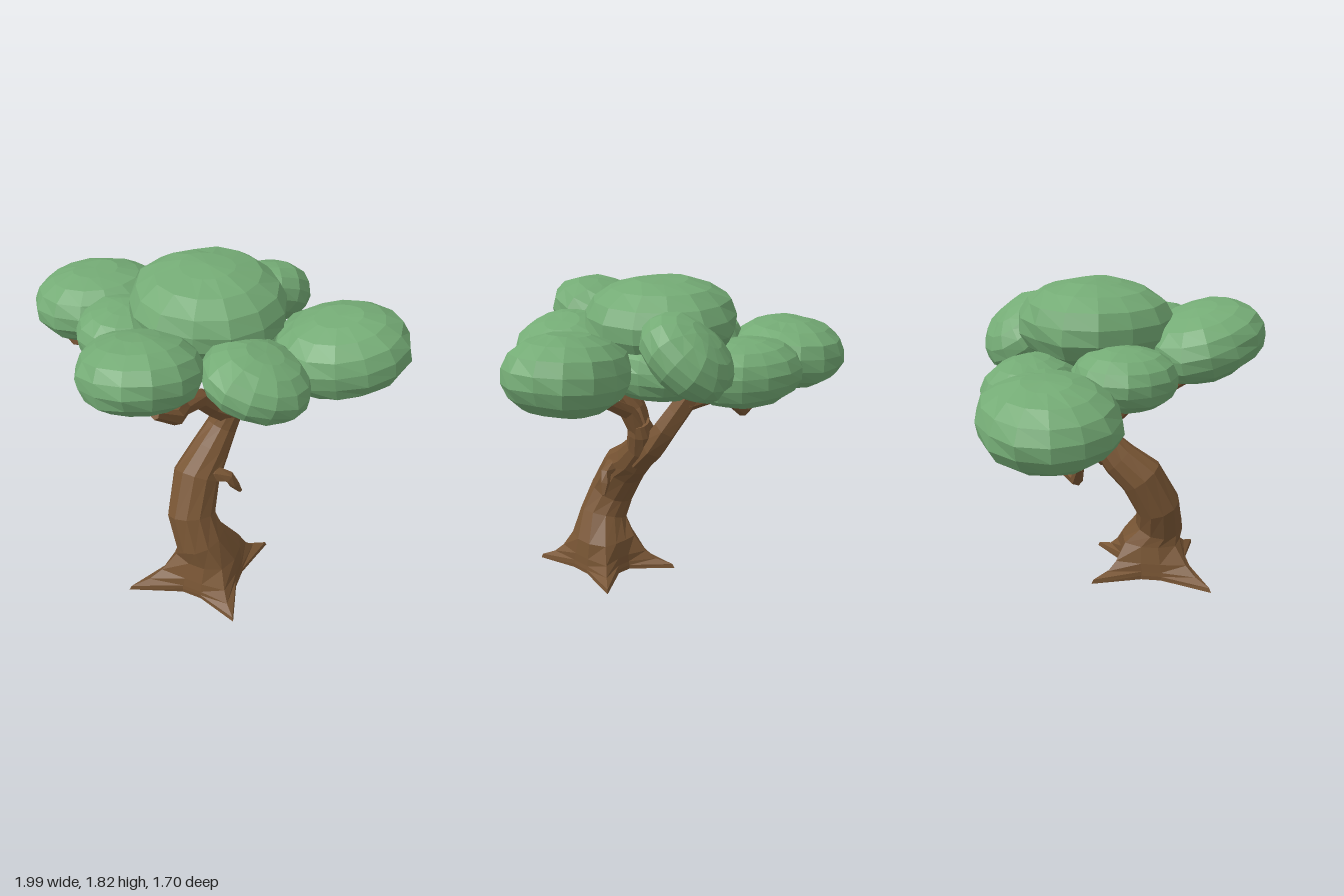
import * as THREE from 'three';

const bark = new THREE.MeshStandardMaterial({ color: 0x785534, flatShading: true });
bark.name = 'barkBrown';
const leaf = new THREE.MeshStandardMaterial({ color: 0x74ab75, flatShading: true });
leaf.name = 'leafGreen';

// Closed skin over a list of rings with equal point counts
function loft(rings) {
  const n = rings[0].length, pos = [], idx = [];
  rings.forEach(r => r.forEach(p => pos.push(p.x, p.y, p.z)));
  for (let k = 0; k < rings.length - 1; k++) {
    for (let i = 0; i < n; i++) {
      const a = k * n + i, b = k * n + (i + 1) % n;
      idx.push(a, a + n, b, b, a + n, b + n);
    }
  }
  [0, rings.length - 1].forEach((k, end) => {
    const c = new THREE.Vector3();
    rings[k].forEach(p => c.addScaledVector(p, 1 / n));
    const ci = pos.length / 3;
    pos.push(c.x, c.y, c.z);
    for (let i = 0; i < n; i++) {
      const a = k * n + i, b = k * n + (i + 1) % n;
      if (end) idx.push(a, ci, b); else idx.push(a, b, ci);
    }
  });
  const g = new THREE.BufferGeometry();
  g.setAttribute('position', new THREE.Float32BufferAttribute(pos, 3));
  g.setIndex(idx);
  g.computeVertexNormals();
  return g;
}

// Rings square to the path; each path point is [x, y, z, radius]
function ringsAlong(path, angles, upright = 0) {
  const pts = path.map(p => new THREE.Vector3(p[0], p[1], p[2]));
  const up = new THREE.Vector3(0, 1, 0);
  return path.map((p, k) => {
    const t = k < upright ? up.clone()
      : pts[Math.min(k + 1, pts.length - 1)].clone().sub(pts[Math.max(k - 1, 0)]).normalize();
    const q = new THREE.Quaternion().setFromUnitVectors(up, t);
    return angles.map((a, i) => {
      const r = Array.isArray(p[3]) ? p[3][i] : p[3];
      return new THREE.Vector3(Math.cos(a) * r, 0, Math.sin(a) * r).applyQuaternion(q).add(pts[k]);
    });
  });
}

function branch(name, path, sides = 6) {
  const angles = Array.from({ length: sides }, (_, i) => i / sides * Math.PI * 2);
  const m = new THREE.Mesh(loft(ringsAlong(path, angles)), bark);
  m.name = name;
  return m;
}

// Leaning trunk whose lowest rings flare into four roots
function trunk() {
  const tips = [[-95, 0.46], [-27, 0.42], [71, 0.40], [165, 0.47]];
  const angles = [], reach = [];
  tips.forEach(([a, r], i) => {
    const next = i < 3 ? tips[i + 1][0] : tips[0][0] + 360;
    [0, 1, 2].forEach(s => {
      angles.push(THREE.MathUtils.degToRad(a + (next - a) * s / 3));
      reach.push(s ? 0.21 : r);
    });
  });
  const flare = (r, f) => reach.map(v => r + (v - r) * f);
  const path = [
    [-0.04, 0, 0.46, flare(0.21, 1)],
    [-0.04, 0.025, 0.46, flare(0.205, 0.95)],
    [-0.04, 0.05, 0.46, flare(0.2, 0.55)],
    [-0.035, 0.1, 0.455, flare(0.195, 0.3)],
    [-0.025, 0.2, 0.45, flare(0.175, 0.08)],
    [-0.08, 0.31, 0.47, 0.145],
    [-0.125, 0.46, 0.425, 0.135],
    [-0.09, 0.65, 0.325, 0.132],
    [-0.01, 0.75, 0.225, 0.11],
    [0.06, 0.86, 0.15, 0.088],
    [0.105, 0.97, 0.135, 0.078],
    [0.125, 1.03, 0.14, 0.06],
  ];
  const m = new THREE.Mesh(loft(ringsAlong(path, angles, 5)), bark);
  m.name = 'trunk';
  return m;
}

// Faceted leaf clump: slightly squared ellipsoid with gentle bumps
function clump(name, [x, y, z], [sx, sy, sz], [rx, ry, rz], seed) {
  const g = new THREE.SphereGeometry(1, 14, 9);
  const p = g.attributes.position, v = new THREE.Vector3();
  for (let i = 0; i < p.count; i++) {
    v.fromBufferAttribute(p, i);
    const e = 2.25;
    const norm = (Math.abs(v.x) ** e + Math.abs(v.y) ** e + Math.abs(v.z) ** e) ** (-1 / e);
    const bump = 1 + 0.025 * Math.sin(v.x * 7 + seed) * Math.cos(v.z * 6 + v.y * 5 + seed * 2);
    v.multiplyScalar(norm * bump);
    p.setXYZ(i, v.x * sx, v.y * sy, v.z * sz);
  }
  g.computeVertexNormals();
  const m = new THREE.Mesh(g, leaf);
  m.name = name;
  m.position.set(x, y, z);
  m.rotation.set(rx, ry, rz);
  return m;
}

export function createModel() {
  const tree = new THREE.Group();
  tree.name = 'tree';
  tree.add(trunk());

  // Branches
  tree.add(
    branch('backBranch', [[0.03, 0.76, 0.18, 0.08], [0.09, 0.88, 0.07, 0.08],
      [0.1, 1.0, -0.01, 0.07], [0.08, 1.1, -0.075, 0.065], [0.06, 1.22, -0.15, 0.06]]),
    branch('longBranch', [[0.08, 1.16, -0.12, 0.05], [-0.08, 1.19, -0.28, 0.045], [-0.19, 1.06, -0.37, 0.04],
      [-0.42, 1.09, -0.4, 0.035], [-0.62, 1.04, -0.42, 0.032], [-0.79, 1.06, -0.45, 0.03], [-0.86, 1.15, -0.47, 0.02]]),
    branch('frontBranch', [[0.09, 0.96, 0.15, 0.07], [0.0, 1.04, 0.2, 0.06], [-0.07, 1.15, 0.28, 0.055],
      [-0.16, 1.2, 0.42, 0.045], [-0.19, 1.28, 0.6, 0.04], [-0.29, 1.38, 0.7, 0.025]]),
    branch('sideBranch', [[0.12, 0.98, 0.14, 0.06], [0.17, 1.1, 0.19, 0.045],
      [0.3, 1.19, 0.25, 0.038], [0.48, 1.28, 0.28, 0.025]]),
    branch('middleBranch', [[0.11, 1.0, 0.14, 0.06], [0.1, 1.1, 0.17, 0.048],
      [0.12, 1.2, 0.24, 0.042], [0.13, 1.32, 0.25, 0.03]]),
    branch('brokenTwig', [[-0.07, 0.65, 0.33, 0.06], [0.02, 0.685, 0.36, 0.045], [0.09, 0.665, 0.37, 0.032],
      [0.12, 0.61, 0.365, 0.03], [0.155, 0.55, 0.36, 0.012]], 5),
  );

  // Leaf clumps: centre, half sizes, rotation
  const clumps = [
    ['crownClump', [-0.015, 1.59, 0.055], [0.41, 0.23, 0.41], [0, 0, 0]],
    ['innerClump', [0.12, 1.38, 0.02], [0.305, 0.18, 0.3], [0, 0, 0]],
    ['backRightClump', [-0.625, 1.305, -0.515], [0.375, 0.2, 0.335], [-0.06, 0, 0.06]],
    ['backClump', [-0.16, 1.295, -0.385], [0.25, 0.19, 0.335], [0, Math.PI / 4, 0]],
    ['backLeftClump', [0.32, 1.5, -0.21], [0.24, 0.165, 0.265], [-0.7, 0, 0]],
    ['leftClump', [0.65, 1.45, 0.295], [0.35, 0.205, 0.305], [0, 0, 0.15]],
    ['frontLeftClump', [0.195, 1.45, 0.53], [0.275, 0.16, 0.275], [0, 0, -0.28]],
    ['frontRightClump', [-0.36, 1.51, 0.525], [0.31, 0.185, 0.335], [-0.3, 0, 0]],
    ['rightClump', [-0.45, 1.395, -0.01], [0.265, 0.16, 0.265], [0, 0, 0]],
  ];
  clumps.forEach((c, i) => tree.add(clump(...c, i * 1.7)));
  return tree;
}
